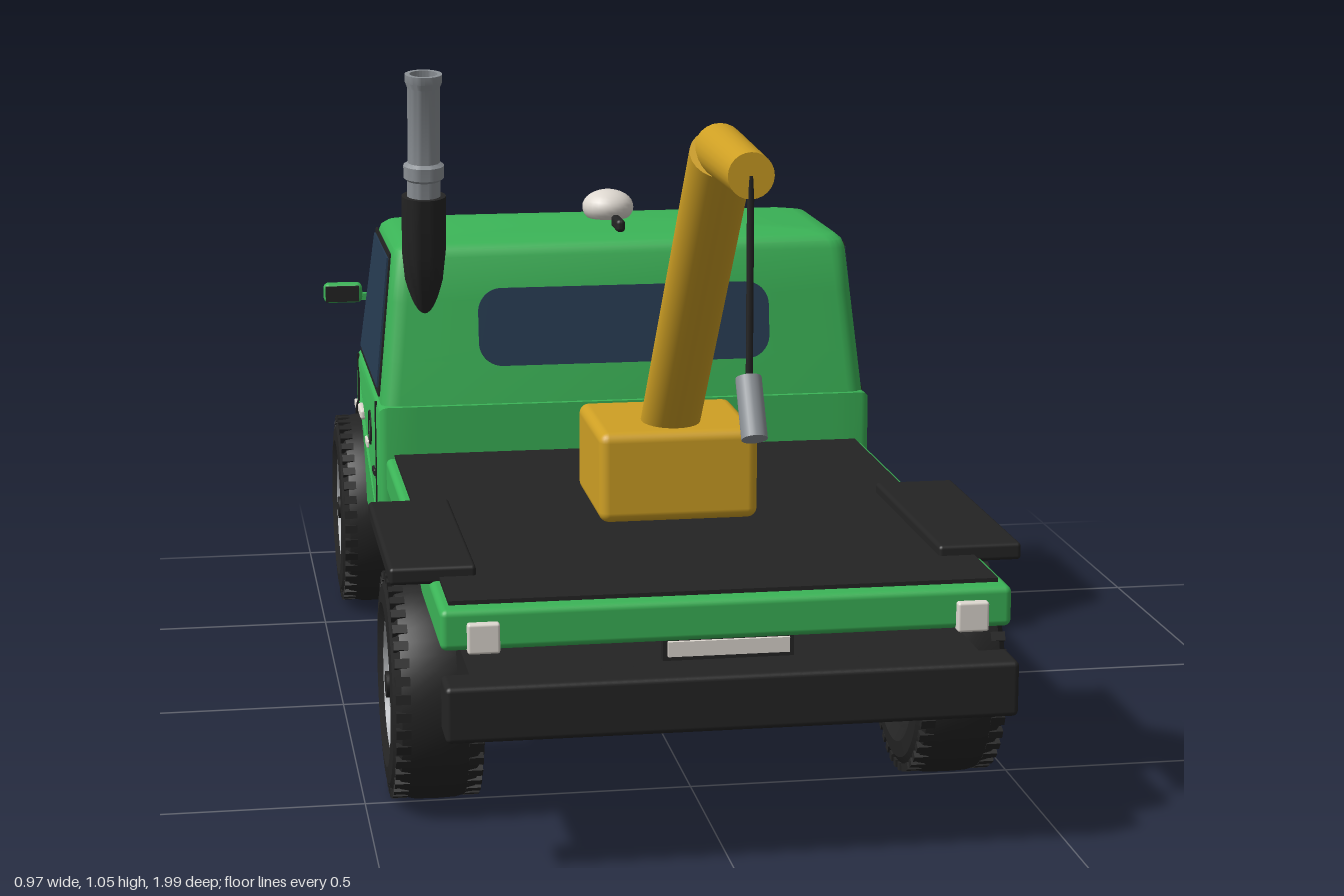
import * as THREE from 'three';
import { toCreasedNormals } from 'three/addons/utils/BufferGeometryUtils.js';
import { RoundedBoxGeometry } from 'three/addons/geometries/RoundedBoxGeometry.js';

const paint = (name, color) => Object.assign(new THREE.MeshStandardMaterial({ color }), { name });

export function createModel() {
  const truck = new THREE.Group();
  truck.name = 'craneTruck';
  const green = paint('green', 0x3bb457), black = paint('black', 0x242424), glass = paint('glass', 0x263b52);
  const yellow = paint('yellow', 0xcfa024), steel = paint('steel', 0x8c9196), white = paint('white', 0xded8d0);
  const darkSteel = paint('darkSteel', 0x4b4e52), silver = paint('silver', 0xb2b5b8), orange = paint('orange', 0xd08a1c);

  function add(name, geo, mat, x = 0, y = 0, z = 0, parent = truck) {
    const m = new THREE.Mesh(geo, mat);
    m.name = name;
    m.position.set(x, y, z);
    parent.add(m);
    return m;
  }
  const box = (name, mat, w, h, d, x, y, z, r = 0, parent = truck) =>
    add(name, r ? new RoundedBoxGeometry(w, h, d, 3, r) : new THREE.BoxGeometry(w, h, d), mat, x, y, z, parent);
  // Straight cylinder between two points
  function rod(name, mat, a, b, r, r2 = r, sides = 24) {
    const p = new THREE.Vector3(...a), q = new THREE.Vector3(...b), d = q.clone().sub(p);
    const m = add(name, new THREE.CylinderGeometry(r2, r, d.length(), sides), mat);
    m.position.copy(p).add(q).multiplyScalar(0.5);
    m.quaternion.setFromUnitVectors(new THREE.Vector3(0, 1, 0), d.normalize());
    return m;
  }
  const polygon = pts => new THREE.Shape(pts.map(p => new THREE.Vector2(...p)));
  function roundRect(w, h, r) {
    const s = new THREE.Shape(), x = w / 2 - r, y = h / 2 - r;
    s.absarc(x, y, r, 0, Math.PI / 2).absarc(-x, y, r, Math.PI / 2, Math.PI);
    s.absarc(-x, -y, r, Math.PI, Math.PI * 1.5).absarc(x, -y, r, Math.PI * 1.5, Math.PI * 2);
    return s;
  }
  const plate = (shape, depth = 0.005) => new THREE.ExtrudeGeometry(shape, { depth, bevelEnabled: false, curveSegments: 8 });

  // Lower cab and bonnet: side outline with wheel arch, extruded across and rounded at the nose
  const outline = new THREE.Shape();
  outline.moveTo(0.13, 0.225);
  outline.lineTo(0.47, 0.225);
  outline.absarc(0.66, 0.18, 0.195, Math.PI - 0.233, 0.233, true);
  [[0.95, 0.235], [0.975, 0.26], [0.985, 0.31], [0.986, 0.37], [0.977, 0.41], [0.95, 0.437], [0.9, 0.449],
    [0.8, 0.46], [0.64, 0.477], [0.13, 0.477]].forEach(p => outline.lineTo(...p));
  const bevel = 0.014, halfW = 0.423;
  let lower = new THREE.ExtrudeGeometry(outline, {
    depth: 2 * (halfW - bevel), steps: 16, curveSegments: 24,
    bevelThickness: bevel, bevelSize: bevel, bevelOffset: -bevel, bevelSegments: 3 });
  lower.translate(0, 0, bevel - halfW).rotateY(Math.PI / 2);
  const pos = lower.attributes.position;
  for (let i = 0; i < pos.count; i++) {
    const x = pos.getX(i), y = pos.getY(i), z = pos.getZ(i);
    const t = THREE.MathUtils.clamp((-0.68 - z) / 0.3, 0, 1), e = Math.pow(Math.abs(x) / halfW, 4);
    pos.setXYZ(i, x * (1 - 0.05 * t), y - (y > 0.38 ? 0.022 * e * t : 0), z + 0.045 * e * t);
  }
  add('lowerCab', toCreasedNormals(lower, 0.6), green);
  box('engineBay', green, 0.6, 0.22, 0.42, 0, 0.336, -0.66);

  // Upper cab: rounded rectangles stacked upward
  const hw = y => 0.418 - (y - 0.46) * 0.1;
  const zFront = y => -0.635 + (y - 0.46) * 0.42;
  const zRear = y => -0.137 - (y - 0.46) * 0.15;
  const levels = [0.44, 0.55, 0.65, 0.722].map(y => [y, hw(y), zFront(y), zRear(y), 0.03]);
  levels.push([0.735, 0.387, -0.519, -0.182, 0.03], [0.744, 0.376, -0.505, -0.195, 0.03],
    [0.749, 0.35, -0.485, -0.215, 0.03], [0.759, 0.12, -0.39, -0.31, 0.02], [0.76, 0, -0.35, -0.35, 0]);
  const verts = [], idx = [], n = 24;
  for (const [y, w, f, b, r] of levels)
    for (let c = 0; c < 4; c++)
      for (let k = 0; k < 6; k++) {
        const a = (c + k / 5) * Math.PI / 2;
        const cx = (c === 0 || c === 3 ? 1 : -1) * (w - r), cz = c < 2 ? b - r : f + r;
        verts.push(cx + r * Math.cos(a), y, cz + r * Math.sin(a));
      }
  for (let i = 0; i < levels.length - 1; i++)
    for (let j = 0; j < n; j++) {
      const a = i * n + j, b = i * n + (j + 1) % n;
      idx.push(a, a + n, b, b, a + n, b + n);
    }
  const upper = new THREE.BufferGeometry();
  upper.setAttribute('position', new THREE.Float32BufferAttribute(verts, 3));
  upper.setIndex(idx);
  add('upperCab', toCreasedNormals(upper, 0.6), green);

  // Windows
  const rearWindow = add('rearWindow', plate(roundRect(0.5, 0.132, 0.04)), glass, 0, 0.605, zRear(0.605));
  rearWindow.rotation.x = -Math.atan(0.15);
  const windshield = new THREE.Group();
  windshield.name = 'windshield';
  windshield.position.set(0, 0.6, zFront(0.6));
  windshield.rotation.set(Math.atan(0.42), Math.PI, 0);
  truck.add(windshield);
  add('windshieldSeal', plate(polygon([[-0.397, -0.13], [0.397, -0.13], [0.37, 0.134], [-0.37, 0.134]]), 0.003), black, 0, 0, 0, windshield);
  add('windshieldGlass', plate(polygon([[-0.388, -0.125], [0.388, -0.125], [0.362, 0.126], [-0.362, 0.126]]), 0.006), glass, 0, 0, 0, windshield);
  for (const x of [-0.125, 0.125]) {
    const wiper = box('wiper', black, 0.22, 0.007, 0.008, x, 0.055, 0.009, 0, windshield);
    wiper.rotation.z = 0.06;
    const arm = box('wiperArm', black, 0.08, 0.008, 0.008, x + 0.07, 0.07, 0.009, 0, windshield);
    arm.rotation.z = 0.35;
  }

  // Parts repeated on both sides of the cab
  for (const s of [-1, 1]) {
    const sidePane = (name, pts, mat, depth) => {
      const m = add(name, plate(polygon(pts.map(([a, y]) => [s * a, y - 0.6])), depth), mat, s * hw(0.6), 0.6, 0);
      m.rotation.set(0, s * Math.PI / 2, s * Math.atan(0.1), 'ZYX');
    };
    sidePane('sideWindowSeal', [[0.2, 0.482], [0.612, 0.482], [0.602, 0.51], [0.515, 0.726], [0.215, 0.726]], black, 0.003);
    sidePane('sideWindow', [[0.213, 0.495], [0.598, 0.495], [0.59, 0.515], [0.507, 0.717], [0.225, 0.717]], glass, 0.006);
    box('mirror', green, 0.07, 0.036, 0.03, s * 0.45, 0.593, -0.605, 0.01);
    box('mirrorGlass', black, 0.06, 0.028, 0.006, s * 0.452, 0.593, -0.588);
    box('mirrorArm', green, 0.05, 0.012, 0.014, s * 0.415, 0.585, -0.605);
    const arch = add('archLip', new THREE.TorusGeometry(0.195, 0.005, 6, 32, Math.PI - 0.45), black, s * 0.415, 0.18, -0.66);
    arch.rotation.set(0, Math.PI / 2, 0.225);
    const seam = (z, y, h) => box('doorSeam', black, 0.004, h, 0.005, s * halfW, y, z);
    seam(-0.625, 0.425, 0.1);
    seam(-0.2, 0.36, 0.23);
    box('doorHandle', white, 0.012, 0.018, 0.07, s * halfW, 0.385, -0.54, 0.005);
    box('sideBadge', white, 0.008, 0.014, 0.045, s * halfW, 0.358, -0.405, 0.003);
    box('sideVent', black, 0.008, 0.012, 0.035, s * halfW, 0.343, -0.245, 0.003);
    box('sideMarker', white, 0.012, 0.014, 0.035, s * 0.41, 0.333, -0.85, 0.003);
    const cap = add('fuelCap', new THREE.TorusGeometry(0.028, 0.003, 6, 24), black, s * halfW, 0.4, -0.335);
    cap.rotation.y = Math.PI / 2;
    // Nose lamps
    box('headlightFrame', black, 0.16, 0.064, 0.016, s * 0.27, 0.365, -0.975, 0.006).rotation.y = s * -0.08;
    box('headlight', silver, 0.135, 0.042, 0.018, s * 0.27, 0.365, -0.98, 0.006).rotation.y = s * -0.08;
    box('fogLamp', white, 0.04, 0.018, 0.014, s * 0.3, 0.27, -0.965, 0.005);
    // Steering arms
    rod('steeringArm', black, [s * 0.135, 0.142, -0.66], [s * 0.34, 0.185, -0.66], 0.011);
    rod('steeringStrut', black, [s * 0.28, 0.17, -0.66], [s * 0.28, 0.24, -0.66], 0.024);
    // Rear lamps, fender plates and bed supports
    box('rearLamp', white, 0.046, 0.044, 0.02, s * 0.352, 0.35, 0.822, 0.004);
    box('fenderPlate', black, 0.126, 0.026, 0.41, s * 0.407, 0.398, 0.455, 0.006);
    box('bedSupport', black, 0.06, 0.05, 0.12, s * 0.35, 0.31, 0.46);
  }
  box('grille', black, 0.3, 0.05, 0.02, 0, 0.3, -0.978, 0.006);
  box('frontPlate', white, 0.14, 0.034, 0.012, 0, 0.3, -0.987, 0.003);
  box('bonnetSeam', black, 0.74, 0.004, 0.004, 0, 0.446, -0.9);

  // Roof beacon and fin
  add('beacon', new THREE.SphereGeometry(0.045, 24, 16), white, 0, 0.778, -0.35).scale.y = 0.68;
  box('roofFin', black, 0.016, 0.022, 0.065, 0, 0.766, -0.23, 0.007);

  // Exhaust stack leaning back from the cab corner
  const stack = new THREE.Group();
  stack.name = 'exhaustStack';
  stack.position.set(-0.34, 0.6, -0.185);
  stack.rotation.x = 0.13;
  truck.add(stack);
  const lathe = (pts, seg = 28) => toCreasedNormals(new THREE.LatheGeometry(pts.map(p => new THREE.Vector2(...p)), seg), 0.5);
  add('stackBase', lathe([[0, 0], [0.012, 0.01], [0.032, 0.09], [0.037, 0.14], [0.037, 0.235], [0, 0.235]]), black, 0, 0, 0, stack);
  add('stackPipe', lathe([[0.028, 0.23], [0.028, 0.262], [0.034, 0.267], [0.034, 0.288], [0.027, 0.293], [0.027, 0.42],
    [0.031, 0.43], [0.031, 0.443], [0.023, 0.443], [0.023, 0.36]]), steel, 0, 0, 0, stack);
  add('stackBore', new THREE.CylinderGeometry(0.024, 0.024, 0.01, 24), black, 0, 0.37, 0, stack);

  // Chassis, bumper and flat bed
  box('chassis', black, 0.74, 0.085, 1.03, 0, 0.247, 0.295);
  box('bumper', black, 0.822, 0.082, 0.07, 0, 0.252, 0.836, 0.008);
  box('bed', green, 0.824, 0.06, 0.955, 0, 0.36, 0.342, 0.01);
  box('bedFloor', black, 0.795, 0.012, 0.925, 0, 0.39, 0.329);
  box('rearPlateFrame', black, 0.19, 0.034, 0.014, 0, 0.316, 0.8);
  box('rearPlate', white, 0.176, 0.022, 0.008, 0, 0.317, 0.809);

  // Crane
  box('craneBase', yellow, 0.248, 0.142, 0.242, 0, 0.467, 0.274, 0.016);
  rod('craneArm', yellow, [0, 0.49, 0.265], [0, 1.012, 0.735], 0.046);
  rod('craneJib', yellow, [0, 1.016, 0.715], [0, 1.01, 0.948], 0.037, 0.032);
  rod('craneRope', black, [0, 1.01, 0.944], [0, 0.72, 0.944], 0.005, 0.005, 8);
  rod('hookWeight', steel, [0, 0.733, 0.938], [0, 0.658, 0.984], 0.018);

  // Wheels
  const tyreGeo = lathe([[0.105, -0.058], [0.125, -0.07], [0.15, -0.068], [0.168, -0.056], [0.174, -0.03], [0.175, 0],
    [0.174, 0.03], [0.168, 0.056], [0.15, 0.068], [0.125, 0.07], [0.105, 0.058], [0.105, -0.058]], 48).rotateZ(Math.PI / 2);
  const rimGeo = lathe([[0.09, 0.03], [0.106, 0.03], [0.109, 0.061], [0.098, 0.063], [0.09, 0.03]], 40);
  const drum = (r, h) => new THREE.CylinderGeometry(r, r, h, 32).rotateZ(Math.PI / 2);
  for (const z of [0.462, -0.66]) {
    rod('axle', black, [-0.35, 0.178, z], [0.35, 0.178, z], 0.022);
    for (const s of [-1, 1]) {
      const wheel = new THREE.Group();
      wheel.name = 'wheel';
      wheel.position.set(s * 0.396, 0.177, z);
      truck.add(wheel);
      add('tyre', tyreGeo, black, 0, 0, 0, wheel);
      for (let i = 0; i < 40; i++) {
        const a = (i / 40) * Math.PI * 2;
        for (const e of [-1, 1]) {
          const lug = box('treadLug', black, 0.022, 0.012, 0.014, e * 0.054, Math.cos(a) * 0.166, Math.sin(a) * 0.166, 0, wheel);
          lug.rotation.x = a;
        }
      }
      add('rim', rimGeo, silver, 0, 0, 0, wheel).rotation.z = -s * Math.PI / 2;
      add('rimBack', drum(0.106, 0.07), darkSteel, 0, 0, 0, wheel);
      add('innerRim', drum(0.1, 0.01), steel, -s * 0.037, 0, 0, wheel);
      for (let i = 0; i < 6; i++) {
        const a = (i / 6) * Math.PI * 2;
        const spoke = box('spoke', silver, 0.024, 0.08, 0.034, s * 0.044, Math.cos(a) * 0.06, Math.sin(a) * 0.06, 0.005, wheel);
        spoke.rotation.x = a;
      }
      add('hub', drum(0.034, 0.03), silver, s * 0.046, 0, 0, wheel);
      add('hubCap', drum(0.02, 0.012), black, s * 0.061, 0, 0, wheel);
      if (z < 0) box('brakeCaliper', orange, 0.012, 0.03, 0.022, s * 0.036, 0.065, 0.037, 0, wheel);
    }
  }
  return truck;
}
